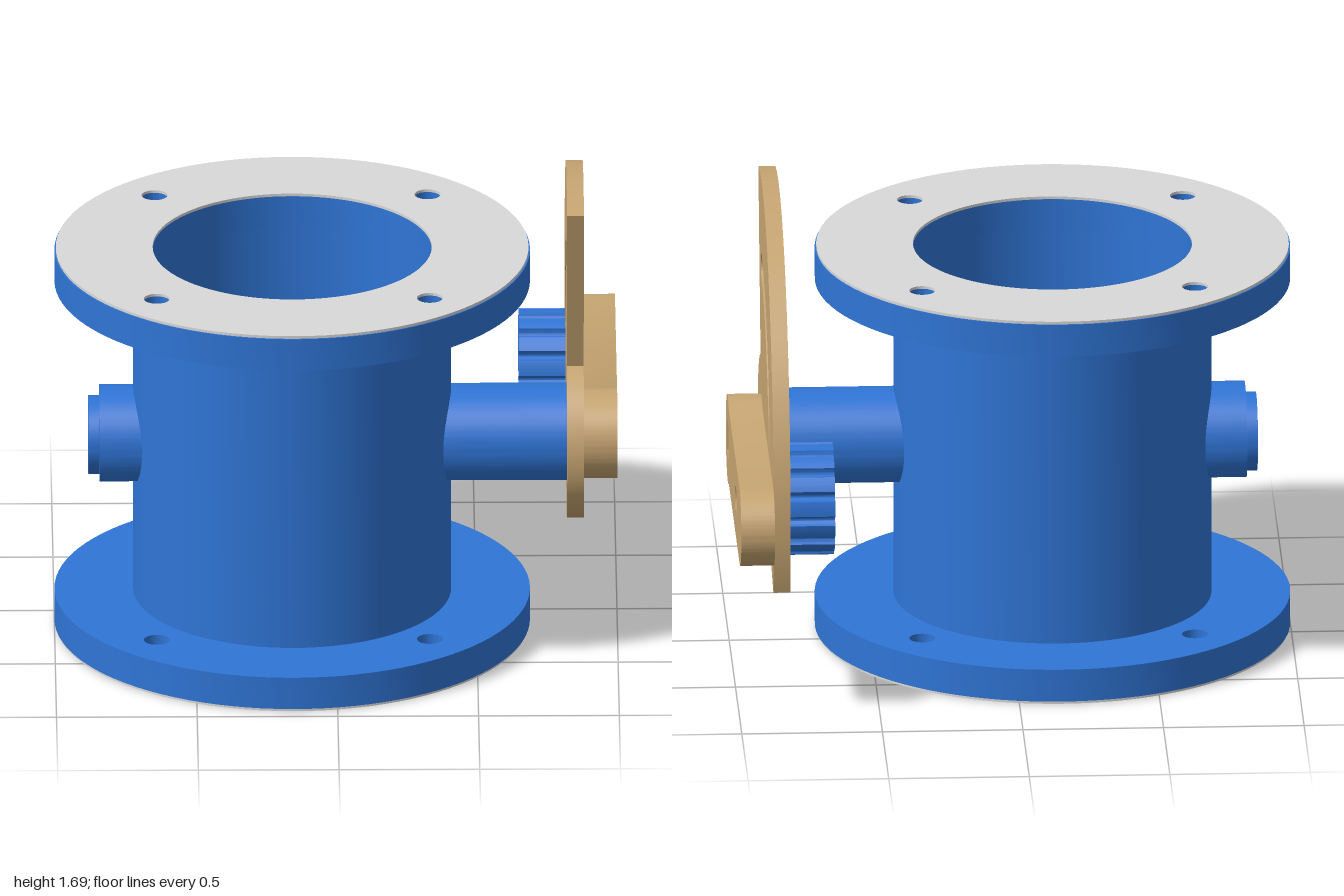
import * as THREE from 'three';
import { toCreasedNormals } from 'three/addons/utils/BufferGeometryUtils.js';

export function createModel() {
  const mat = (name, color) => {
    const m = new THREE.MeshStandardMaterial({ color });
    m.name = name;
    return m;
  };
  const blue = mat('blue', 0x2f75d6);
  const tan = mat('tan', 0xc8a673);
  const grey = mat('gasket grey', 0xd9d9d9);

  const PI = Math.PI;
  const rad = THREE.MathUtils.degToRad;
  const model = new THREE.Group();
  model.name = 'butterflyValve';

  // Everything is placed relative to the crossing of bore axis and shaft axis
  const valve = new THREE.Group();
  valve.name = 'valve';
  valve.position.set(-0.155, 0.72, 0.11);
  model.add(valve);

  const add = (name, geometry, material) => {
    const mesh = new THREE.Mesh(geometry, material);
    mesh.name = name;
    valve.add(mesh);
    return mesh;
  };
  const extrude = (shape, depth) => toCreasedNormals(
    new THREE.ExtrudeGeometry(shape, { depth, bevelEnabled: false, curveSegments: 48 }), 0.5);
  // Extrude along x: shape u points to the back, v points up
  const alongX = (name, shape, x0, x1, material) =>
    add(name, extrude(shape, x1 - x0).rotateY(PI / 2).translate(x0, 0, 0), material);
  // Extrude along y: shape u is x, v points to the back
  const alongY = (name, shape, y0, y1, material) =>
    add(name, extrude(shape, y1 - y0).rotateX(-PI / 2).translate(0, y0, 0), material);

  const circle = (r, x = 0, y = 0, Type = THREE.Shape) => {
    const s = new Type();
    s.absarc(x, y, r, 0, 2 * PI, false);
    return s;
  };
  const polygon = (n, r, start, Type = THREE.Shape) => {
    const pts = [];
    for (let i = 0; i < n; i++) {
      const a = start + (i * 2 * PI) / n;
      pts.push(new THREE.Vector2(r * Math.cos(a), r * Math.sin(a)));
    }
    return new Type(pts);
  };
  const hole = (shape, r, x = 0, y = 0) => shape.holes.push(circle(r, x, y, THREE.Path));

  // Body tube
  const tube = circle(0.565);
  hole(tube, 0.495);
  alongY('bodyTube', tube, -0.6, 0.6, blue);

  // Flanges and gaskets, each with a ring of four bolt holes
  const ring = (outer, inner) => {
    const s = circle(outer);
    hole(s, inner);
    for (const x of [-0.485, 0.485]) for (const y of [-0.485, 0.485]) hole(s, 0.046, x, y);
    return s;
  };
  alongY('bottomFlange', ring(0.845, 0.495), -0.71, -0.59, blue);
  alongY('topFlange', ring(0.845, 0.495), 0.59, 0.71, blue);
  alongY('bottomGasket', ring(0.84, 0.496), -0.72, -0.71, grey);
  alongY('topGasket', ring(0.84, 0.496), 0.71, 0.72, grey);

  // Teardrop shaft bosses
  const teardrop = new THREE.Shape();
  teardrop.moveTo(0, -0.18 * Math.SQRT2);
  teardrop.absarc(0, 0, 0.18, -PI / 4, PI * 1.25, false);
  teardrop.closePath();
  alongX('leftBoss', teardrop, 0.52, 0.975, blue);
  alongX('rightBoss', teardrop, -0.685, -0.52, blue);
  alongX('bossCap', circle(0.14), -0.725, -0.685, blue);

  // Throttle disc bolted to a flattened shaft
  const disc = circle(0.486);
  const shaftFlat = new THREE.Shape();
  shaftFlat.moveTo(-0.48, -0.1);
  shaftFlat.lineTo(0.48, -0.1);
  shaftFlat.lineTo(0.48, 0.1);
  shaftFlat.lineTo(-0.48, 0.1);
  for (const x of [-0.245, 0.245]) {
    hole(disc, 0.036, x);
    hole(shaftFlat, 0.036, x);
  }
  alongY('throttleDisc', disc, -0.02, 0.025, tan);
  alongY('shaftFlat', shaftFlat, -0.085, -0.02, blue);
  for (const [x0, x1] of [[-0.6, -0.475], [0.475, 0.6]]) alongX('shaftEnd', circle(0.1), x0, x1, blue);

  // Square drive with a centre hole
  const square = polygon(4, 0.06 * Math.SQRT2, PI / 4);
  hole(square, 0.027);
  alongX('squareDrive', square, 0.97, 1.135, blue);

  // Quadrant plate with a curved slot
  const plate = new THREE.Shape();
  plate.absarc(0, 0, 0.97, rad(-15), rad(105), false);
  plate.absarc(0, 0, 0.3, rad(105), rad(345), false);
  plate.closePath();
  const slot = new THREE.Path();
  slot.absarc(0, 0, 0.695, 0, PI / 2, false);
  slot.absarc(0, 0.645, 0.05, PI / 2, PI * 1.5, false);
  slot.absarc(0, 0, 0.595, PI / 2, 0, true);
  slot.absarc(0.645, 0, 0.05, PI, 2 * PI, false);
  plate.holes.push(slot);
  alongX('quadrantPlate', plate, 0.975, 1.035, tan);

  // Lever with a square socket and a clamp hole
  const lever = new THREE.Shape();
  const tangent = Math.asin(0.14 / 0.16);
  lever.absarc(0, 0, 0.16, tangent, 2 * PI - tangent, false);
  lever.absarc(0.935, 0, 0.14, -PI / 2, PI / 2, false);
  lever.closePath();
  lever.holes.push(polygon(4, 0.061 * Math.SQRT2, PI / 4, THREE.Path));
  hole(lever, 0.048, 0.645);
  alongX('lever', lever, 1.035, 1.155, tan);

  // Clamp knob: scalloped grip with a hexagon nut pocket
  const knobShape = () => {
    const s = new THREE.Shape();
    const n = 14, step = (2 * PI) / n;
    for (let i = 0; i < n; i++) {
      const a = i * step;
      s.absarc(0, 0, 0.2, a, a + step * 0.6, false);
      s.quadraticCurveTo(0.16 * Math.cos(a + step * 0.8), 0.16 * Math.sin(a + step * 0.8),
        0.2 * Math.cos(a + step), 0.2 * Math.sin(a + step));
    }
    return s;
  };
  const knobBack = knobShape();
  knobBack.holes.push(polygon(6, 0.095, 0, THREE.Path));
  const knobFront = knobShape();
  hole(knobFront, 0.048);
  alongX('knobNutPocket', knobBack, 0.81, 0.89, blue).position.z = -0.645;
  alongX('knobFace', knobFront, 0.89, 0.975, blue).position.z = -0.645;

  return model;
}
